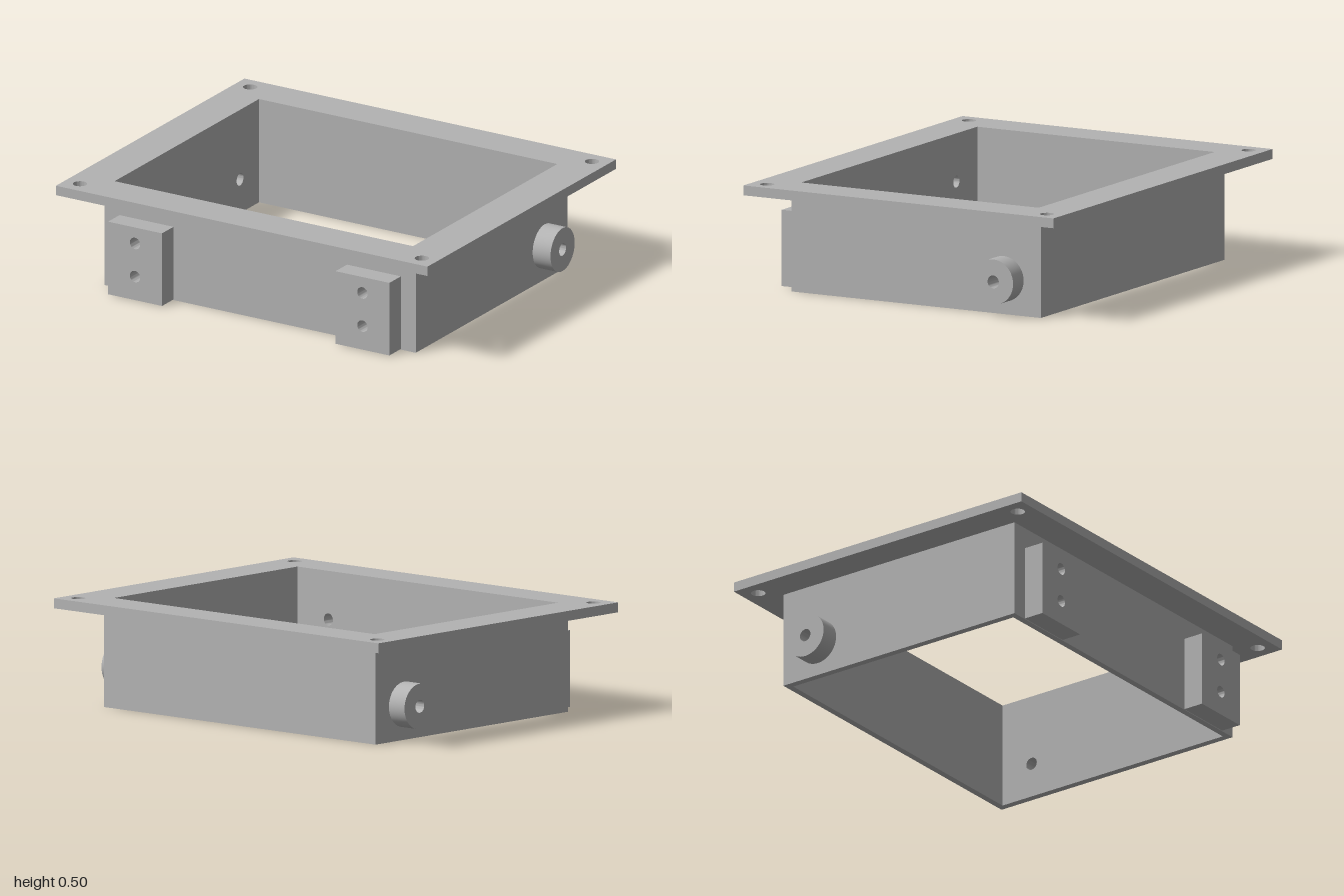
import * as THREE from 'three';
import { toCreasedNormals } from 'three/addons/utils/BufferGeometryUtils.js';

// Overall sizes
const TOP = 0.505, FLANGE_Y = 0.459;
const OUT_X = 0.837, OUT_Z = 0.659, IN_X = 0.803, IN_Z = 0.628;
const BLOCK_X = 0.612, BOLT_Y = [0.118, 0.28], BOLT_R = 0.028;
const BOSS_Y = 0.165, BOSS_Z = -0.463, BOSS_R = 0.105, BORE_R = 0.03;

function rect(x0, y0, x1, y1, ShapeType = THREE.Shape) {
  return new ShapeType([[x0, y0], [x1, y0], [x1, y1], [x0, y1]].map(([x, y]) => new THREE.Vector2(x, y)));
}

function circle(x, y, r, ShapeType = THREE.Path) {
  const c = new ShapeType();
  c.absarc(x, y, r, 0, Math.PI * 2, false);
  return c;
}

export function createModel() {
  const model = new THREE.Group();
  model.name = 'mountingFrame';
  const metal = new THREE.MeshStandardMaterial({ color: 0xb3b3b3 });
  metal.name = 'grey metal';

  // Extrudes a pierced outline along +z, then turns it
  function plate(name, shape, holes, depth, turn) {
    shape.holes.push(...holes);
    const solid = new THREE.ExtrudeGeometry(shape, { depth, bevelEnabled: false, curveSegments: 24 });
    const mesh = new THREE.Mesh(toCreasedNormals(solid, 0.6), metal);
    mesh.name = name;
    if (turn) turn(mesh);
    model.add(mesh);
    return mesh;
  }

  // Top flange with central opening and four corner holes
  const cornerHoles = [];
  for (const x of [-0.92, 0.92]) for (const y of [-0.74, 0.74]) cornerHoles.push(circle(x, y, 0.033));
  plate('topFlange', rect(-1, -0.82, 1, 0.82),
    [rect(-IN_X, -IN_Z, IN_X, IN_Z, THREE.Path), ...cornerHoles], TOP - FLANGE_Y,
    (m) => { m.rotation.x = -Math.PI / 2; m.position.y = FLANGE_Y; });

  // Front wall, pierced by the block holes, and plain back wall
  const boltHoles = (x) => BOLT_Y.map((y) => circle(x, y, BOLT_R));
  plate('frontWall', rect(-OUT_X, 0, OUT_X, FLANGE_Y), [...boltHoles(-BLOCK_X), ...boltHoles(BLOCK_X)],
    OUT_Z - IN_Z, (m) => { m.position.z = IN_Z; });
  plate('backWall', rect(-OUT_X, 0, OUT_X, FLANGE_Y), [], OUT_Z - IN_Z, (m) => { m.position.z = -OUT_Z; });

  for (const [side, s] of [['left', 1], ['right', -1]]) {
    // Mounting block on the front
    const x = s * BLOCK_X;
    plate(side + 'Block', rect(x - 0.145, 0.003, x + 0.145, 0.358), boltHoles(x), 0.1,
      (m) => { m.position.z = OUT_Z; });

    // Side wall and round boss, sharing one bore
    const turnTo = (start) => (m) => { m.rotation.y = Math.PI / 2; m.position.x = start; };
    plate(side + 'Wall', rect(-IN_Z, 0, IN_Z, FLANGE_Y), [circle(-BOSS_Z, BOSS_Y, BORE_R)],
      OUT_X - IN_X, turnTo(s > 0 ? IN_X : -OUT_X));
    plate(side + 'Boss', circle(-BOSS_Z, BOSS_Y, BOSS_R, THREE.Shape), [circle(-BOSS_Z, BOSS_Y, BORE_R)],
      0.096, turnTo(s > 0 ? OUT_X : -OUT_X - 0.096));
  }
  return model;
}
